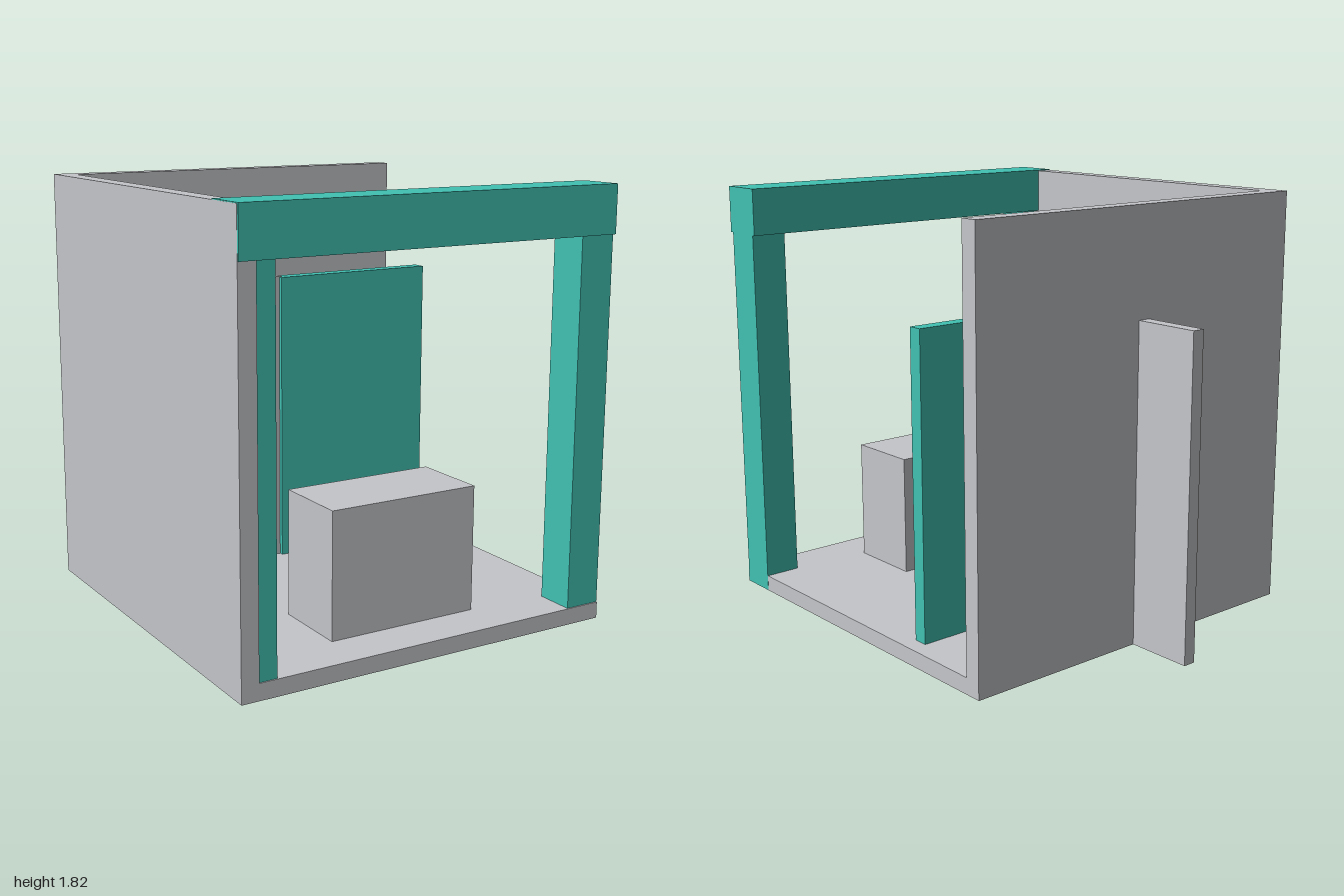
import * as THREE from 'three';

export function createModel() {
  const model = new THREE.Group();
  const grey = new THREE.MeshStandardMaterial({ color: 0xc5c6ca });
  grey.name = 'light grey';
  const teal = new THREE.MeshStandardMaterial({ color: 0x41c1b3 });
  teal.name = 'teal';

  // Axis-aligned block given by its lower and upper limits
  function block(name, material, [x0, x1], [y0, y1], [z0, z1]) {
    const mesh = new THREE.Mesh(new THREE.BoxGeometry(x1 - x0, y1 - y0, z1 - z0), material);
    mesh.position.set((x0 + x1) / 2, (y0 + y1) / 2, (z0 + z1) / 2);
    mesh.name = name;
    model.add(mesh);
  }

  // Room shell: floor and two walls, open at the front, top and one side
  block('floor', grey, [-0.85, 0.85], [0, 0.07], [-0.71, 0.99]);
  block('sideWall', grey, [-0.85, -0.775], [0, 1.82], [-0.71, 0.99]);
  block('backWall', grey, [-0.85, 0.85], [0, 1.82], [-0.71, -0.635]);

  // Partition running through the back wall, and the block on the floor
  block('partition', grey, [-0.03, 0.026], [0, 1.365], [-1, -0.237]);
  block('counter', grey, [-0.34, 0.34], [0.05, 0.605], [0.45, 0.79]);

  // Panel standing across the end of the partition
  block('panel', teal, [0.012, 0.78], [0.01, 1.363], [-0.28, -0.218]);

  // Portal frame at the front
  block('sidePost', teal, [-0.84, -0.697], [0.01, 1.63], [0.818, 0.985]);
  block('openSidePost', teal, [0.693, 0.851], [0.001, 1.63], [0.818, 0.985]);
  block('frontBeam', teal, [-0.849, 0.852], [1.623, 1.824], [0.803, 1]);

  return model;
}
